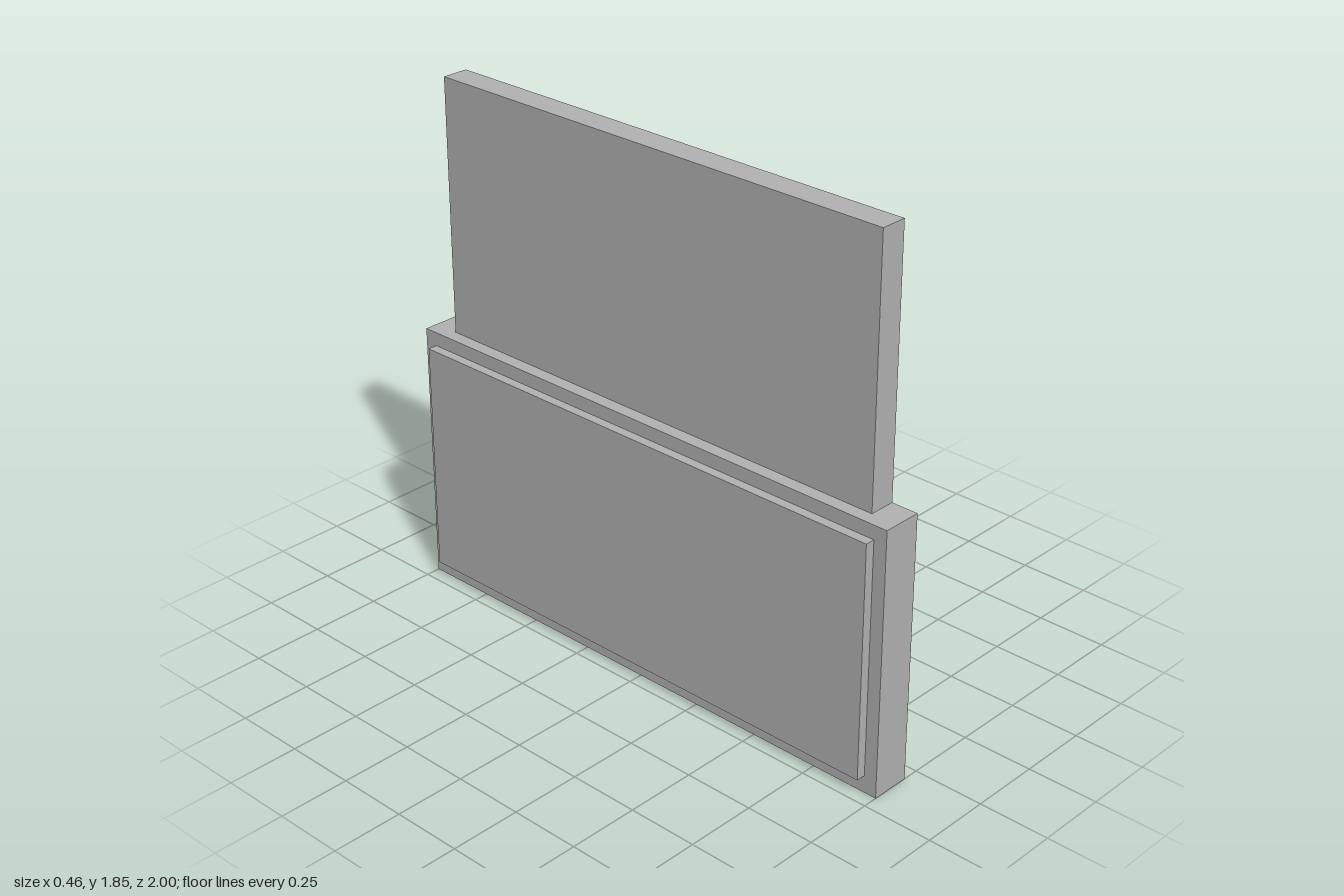
import * as THREE from 'three';

export function createModel() {
  const model = new THREE.Group();
  model.name = 'vehicleDoor';

  const grey = new THREE.MeshStandardMaterial({ color: 0xb2b2b2 });
  grey.name = 'grey';

  // Adds a box given its extent along each axis
  function addBox(name, [x0, x1], [y0, y1], [z0, z1]) {
    const mesh = new THREE.Mesh(new THREE.BoxGeometry(x1 - x0, y1 - y0, z1 - z0), grey);
    mesh.position.set((x0 + x1) / 2, (y0 + y1) / 2, (z0 + z1) / 2);
    mesh.name = name;
    model.add(mesh);
  }

  // Lower door, window section above it, trim on the inner side
  addBox('lowerDoor', [-0.198, -0.057], [0, 0.943], [-1, 1]);
  addBox('upperWindow', [-0.151, -0.057], [0.943, 1.848], [-0.905, 0.905]);
  addBox('innerTrim', [-0.232, -0.198], [0.062, 0.894], [-0.953, 0.953]);

  // Side mirror with its raised glass
  addBox('mirrorHousing', [-0.057, 0.23], [0.99, 1.226], [-0.905, -0.669]);
  addBox('mirrorGlass', [-0.03, 0.206], [1.014, 1.206], [-0.669, -0.656]);

  return model;
}
